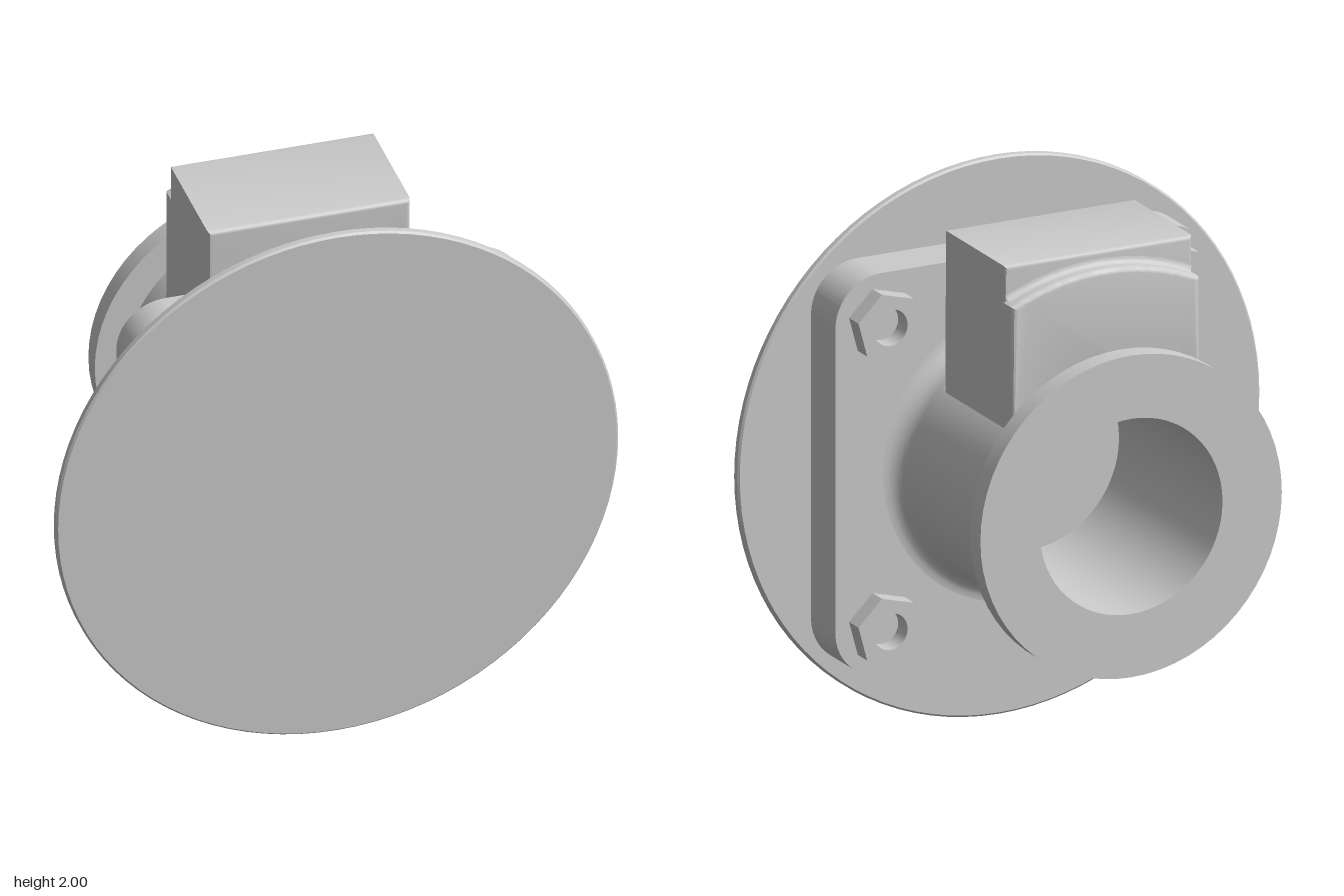
import * as THREE from 'three';
import { toCreasedNormals } from 'three/addons/utils/BufferGeometryUtils.js';

const material = new THREE.MeshStandardMaterial({ color: 0xcccccc, side: THREE.DoubleSide });

function add(parent, name, geometry) {
  const mesh = new THREE.Mesh(geometry, material);
  mesh.name = name;
  parent.add(mesh);
  return mesh;
}

// Turned part around the z axis; profile points are [radius, z].
function turned(profile, segments = 64, start = 0, sweep = Math.PI * 2) {
  const points = profile.map(([r, z]) => new THREE.Vector2(r, z));
  const geometry = new THREE.LatheGeometry(points, segments, start, sweep);
  geometry.rotateX(Math.PI / 2);
  return toCreasedNormals(geometry, 0.6);
}

// Shape in xy extruded between two z values, with rounded edges inside that span.
function extruded(shape, z0, z1, bevel = 0) {
  const geometry = new THREE.ExtrudeGeometry(shape, {
    depth: z1 - z0 - 2 * bevel, curveSegments: 20,
    bevelEnabled: bevel > 0, bevelThickness: bevel, bevelSize: bevel, bevelOffset: -bevel, bevelSegments: 3,
  });
  geometry.translate(0, 0, z0 + bevel);
  return toCreasedNormals(geometry, 0.6);
}

function roundedSquare(h, r) {
  const s = new THREE.Shape();
  s.absarc(h - r, h - r, r, 0, Math.PI / 2);
  s.absarc(r - h, h - r, r, Math.PI / 2, Math.PI);
  s.absarc(r - h, r - h, r, Math.PI, Math.PI * 1.5);
  s.absarc(h - r, r - h, r, Math.PI * 1.5, Math.PI * 2);
  s.closePath();
  return s;
}

// Block outline that saddles the pipe; the top is flat or an arc around the pipe axis.
function saddle(halfWidth, saddleRadius, topY, topRadius) {
  const s = new THREE.Shape();
  const a = Math.acos(halfWidth / saddleRadius);
  s.absarc(0, 0, saddleRadius, Math.PI - a, a, true);
  if (topRadius) {
    const b = Math.acos(halfWidth / topRadius);
    s.absarc(0, 0, topRadius, b, Math.PI - b, false);
  } else {
    s.lineTo(halfWidth, topY);
    s.lineTo(-halfWidth, topY);
  }
  s.closePath();
  return s;
}

export function createModel() {
  const model = new THREE.Group();
  model.name = 'flangedPipeFitting';
  const body = new THREE.Group();
  body.name = 'fitting';
  body.position.y = 1;
  model.add(body);

  // Large thin disc at the front
  add(body, 'frontDisc', turned([
    [0, 0.47], [0.993, 0.47], [1, 0.477], [1, 0.498], [0.993, 0.505], [0, 0.505],
  ], 96));

  // Square mounting plate
  add(body, 'mountingPlate', extruded(roundedSquare(0.72, 0.175), 0.29, 0.47));

  // Pipe with blind bore, rear flange and a fillet onto the plate
  const profile = [
    [0, 0.26], [0.35, 0.26], [0.35, -0.505], [0.577, -0.505],
    [0.577, -0.43], [0.468, -0.43],
  ];
  const fillet = 0.07;
  for (let i = 0; i <= 6; i++) {
    const a = (i / 6) * Math.PI / 2;
    profile.push([0.468 + fillet * (1 - Math.cos(a)), 0.29 - fillet + fillet * Math.sin(a)]);
  }
  add(body, 'pipe', turned(profile));

  // Block on top of the pipe, with an arched step behind it
  add(body, 'topBlock', extruded(saddle(0.36, 0.43, 0.88), -0.265, 0.18, 0.015));
  add(body, 'archedStep', extruded(saddle(0.36, 0.43, 0, 0.83), -0.322, -0.2, 0.018));

  // Small cove between the step and the block
  const cove = [];
  for (let i = 0; i <= 5; i++) {
    const a = (i / 5) * Math.PI / 2;
    cove.push([0.853 - 0.025 * Math.sin(a), -0.265 - 0.025 * (1 - Math.cos(a))]);
  }
  const half = Math.asin(0.352 / 0.84);
  add(body, 'stepCove', turned(cove.reverse(), 24, Math.PI - half, half * 2));

  // Hex nuts at the plate corners
  const nutShape = new THREE.Shape();
  for (let i = 0; i < 6; i++) {
    const a = (i / 6) * Math.PI * 2 + Math.PI / 12;
    nutShape[i ? 'lineTo' : 'moveTo'](0.127 * Math.cos(a), 0.127 * Math.sin(a));
  }
  nutShape.closePath();
  const hole = new THREE.Path();
  hole.absarc(0, 0, 0.065, 0, Math.PI * 2, true);
  nutShape.holes.push(hole);
  const nutGeometry = extruded(nutShape, 0.22, 0.295);
  for (const x of [-1, 1]) {
    for (const y of [-1, 1]) {
      add(body, 'hexNut', nutGeometry).position.set(x * 0.545, y * 0.545, 0);
    }
  }
  return model;
}
